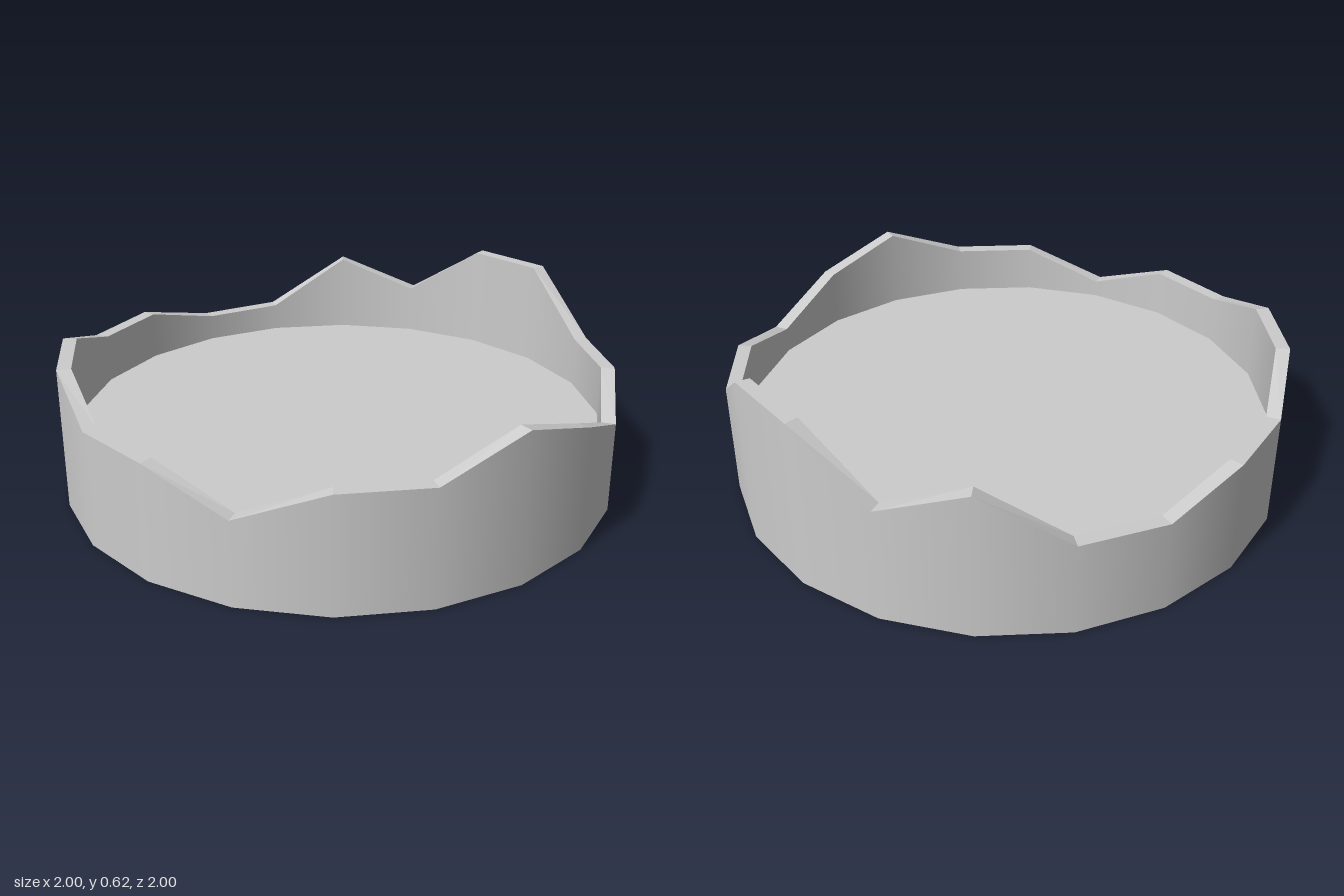
import * as THREE from 'three';

const SIDES = 20;
const OUTER = 1;
const INNER = 0.95;
const FLOOR_Y = 0.235;

// Height of the broken rim at each corner, from the front (+z) round towards +x
const RIM = [
  0.415, 0.535, 0.445, 0.33, 0.415, 0.415, 0.62, 0.62, 0.42, 0.535,
  0.34, 0.335, 0.415, 0.415, 0.515, 0.515, 0.415, 0.415, 0.3, 0.415,
];

function rimHeight(x, z) {
  const k = Math.round((Math.atan2(x, z) / (Math.PI * 2)) * SIDES);
  return RIM[(k + SIDES) % SIDES];
}

// Open tube whose top edge follows the rim
function wall(radius, bottom) {
  const geo = new THREE.CylinderGeometry(radius, radius, 1, SIDES, 1, true);
  const p = geo.attributes.position;
  for (let i = 0; i < p.count; i++) {
    p.setY(i, p.getY(i) > 0 ? rimHeight(p.getX(i), p.getZ(i)) : bottom);
  }
  return geo;
}

// Narrow top face joining the two walls
function rimCap() {
  const ring = new THREE.RingGeometry(INNER, OUTER, SIDES, 1).rotateX(-Math.PI / 2);
  const p = ring.attributes.position;
  for (let i = 0; i < p.count; i++) p.setY(i, rimHeight(p.getX(i), p.getZ(i)));
  const geo = ring.toNonIndexed();
  geo.computeVertexNormals();
  return geo;
}

export function createModel() {
  const group = new THREE.Group();
  group.name = 'brokenRoundBase';
  const material = new THREE.MeshStandardMaterial({ color: 0xcccccc, side: THREE.DoubleSide });

  const add = (name, geo) => {
    const mesh = new THREE.Mesh(geo, material);
    mesh.name = name;
    group.add(mesh);
  };

  add('outerWall', wall(OUTER, 0));
  add('innerWall', wall(INNER, FLOOR_Y));
  add('rim', rimCap());
  // Raised floor, hollow underneath
  add('floor', new THREE.CircleGeometry(INNER, SIDES).rotateX(-Math.PI / 2).translate(0, FLOOR_Y, 0));

  return group;
}
